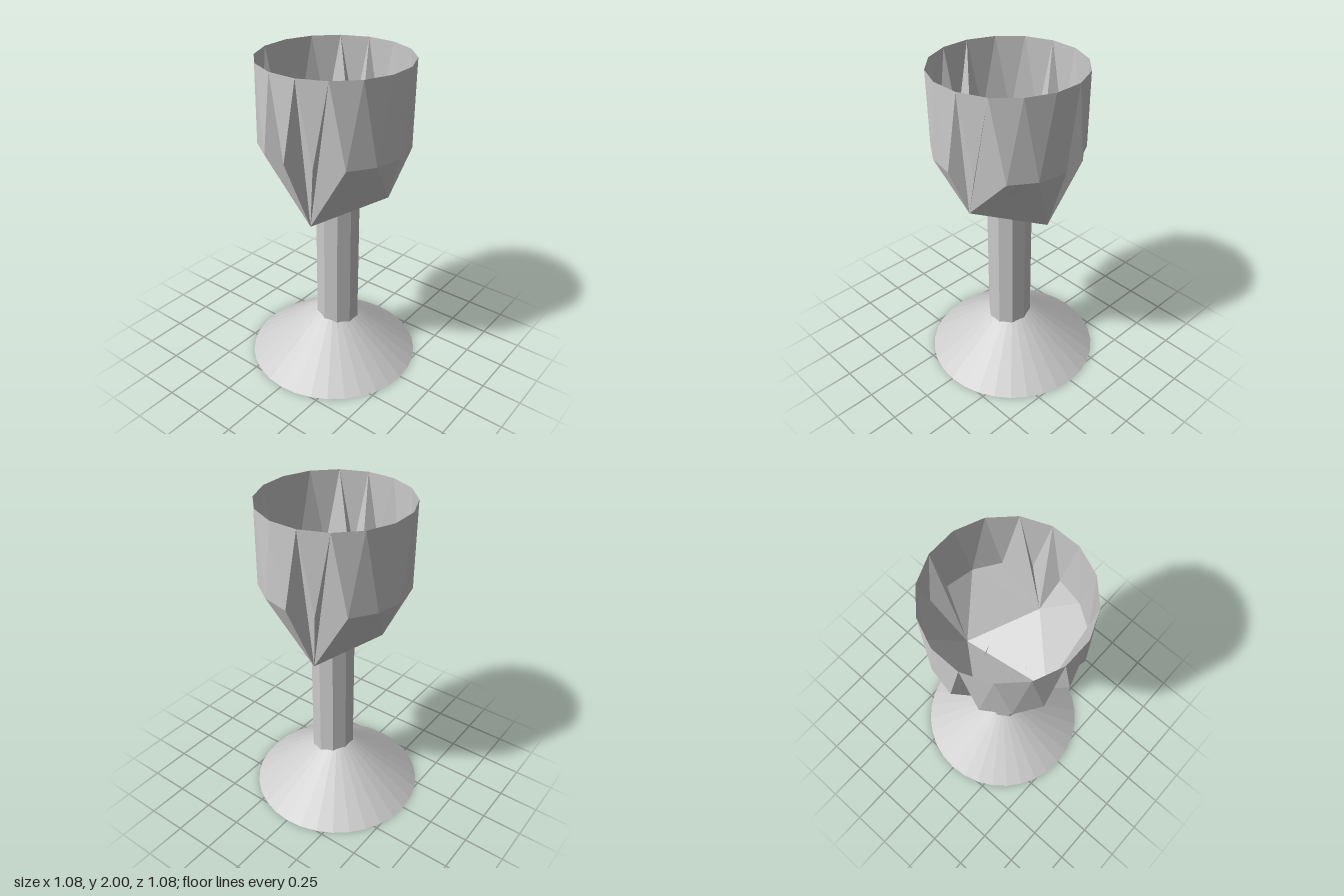
import * as THREE from 'three';

const material = new THREE.MeshStandardMaterial({ color: 0xcccccc, flatShading: true, side: THREE.DoubleSide });

// lowest corners of the faceted bowl: left, right, front, back
const A = [-0.295, 1.07, 0.06];
const B = [0.265, 1.07, -0.03];
const C = [0.035, 1.225, 0.37];
const D = [-0.05, 1.225, -0.29];

function part(name, geometry) {
  const mesh = new THREE.Mesh(geometry, material);
  mesh.name = name;
  return mesh;
}

// Thin faceted bowl: rim and waist rings staggered by half a step, gathered to four corners
function bowlGeometry() {
  const sides = 16;
  const ring = (k, y) => {
    const a = (k / sides) * Math.PI * 2;
    return [-0.012 + 0.449 * Math.sin(a), y, 0.02 + 0.449 * Math.cos(a)];
  };
  const waist = (k) => ring(k, 1.51);
  const rim = (k) => ring(k + 0.5, 2);

  // corner below each waist segment, and the segments creased up to the rim
  const owner = [C, C, C, B, B, B, D, D, D, D, A, A, A, A, C, C];
  const creased = new Set([0, 1, 4, 5, 8, 11, 12, 13]);

  const points = [];
  const tri = (...corners) => corners.forEach((p) => points.push(...p));

  for (let k = 0; k < sides; k++) {
    const low = owner[k];
    const previous = owner[(k + sides - 1) % sides];
    tri(rim(k - 1), waist(k), rim(k));
    if (creased.has(k)) {
      tri(low, rim(k), waist(k));
      tri(low, waist(k + 1), rim(k));
    } else {
      tri(waist(k), waist(k + 1), rim(k));
      tri(low, waist(k + 1), waist(k));
    }
    if (previous !== low) tri(previous, low, waist(k));
  }
  // folded underside
  tri(A, B, C);
  tri(A, D, B);

  const geometry = new THREE.BufferGeometry();
  geometry.setAttribute('position', new THREE.Float32BufferAttribute(points, 3));
  geometry.computeVertexNormals();
  return geometry;
}

// Ten-sided open stem, its top trimmed to the folded underside of the bowl
function stemGeometry() {
  const bottom = 0.2;
  const geometry = new THREE.CylinderGeometry(0.137, 0.137, 1, 10, 1, true);
  geometry.rotateY(Math.PI / 10);
  geometry.translate(0.003, 0, 0.03);
  const pos = geometry.attributes.position;
  for (let i = 0; i < pos.count; i++) {
    const foldZ = A[2] + ((pos.getX(i) - A[0]) * (B[2] - A[2])) / (B[0] - A[0]);
    const dz = pos.getZ(i) - foldZ;
    const top = A[1] + (dz > 0 ? 0.42 * dz : -0.5 * dz);
    pos.setY(i, pos.getY(i) > 0 ? top : bottom);
  }
  geometry.computeVertexNormals();
  return geometry;
}

export function createModel() {
  const model = new THREE.Group();
  model.name = 'goblet';

  // conical foot with a closed underside
  const foot = part('foot', new THREE.ConeGeometry(0.54, 0.41, 32));
  foot.position.y = 0.205;

  model.add(foot, part('stem', stemGeometry()), part('bowl', bowlGeometry()));
  return model;
}
